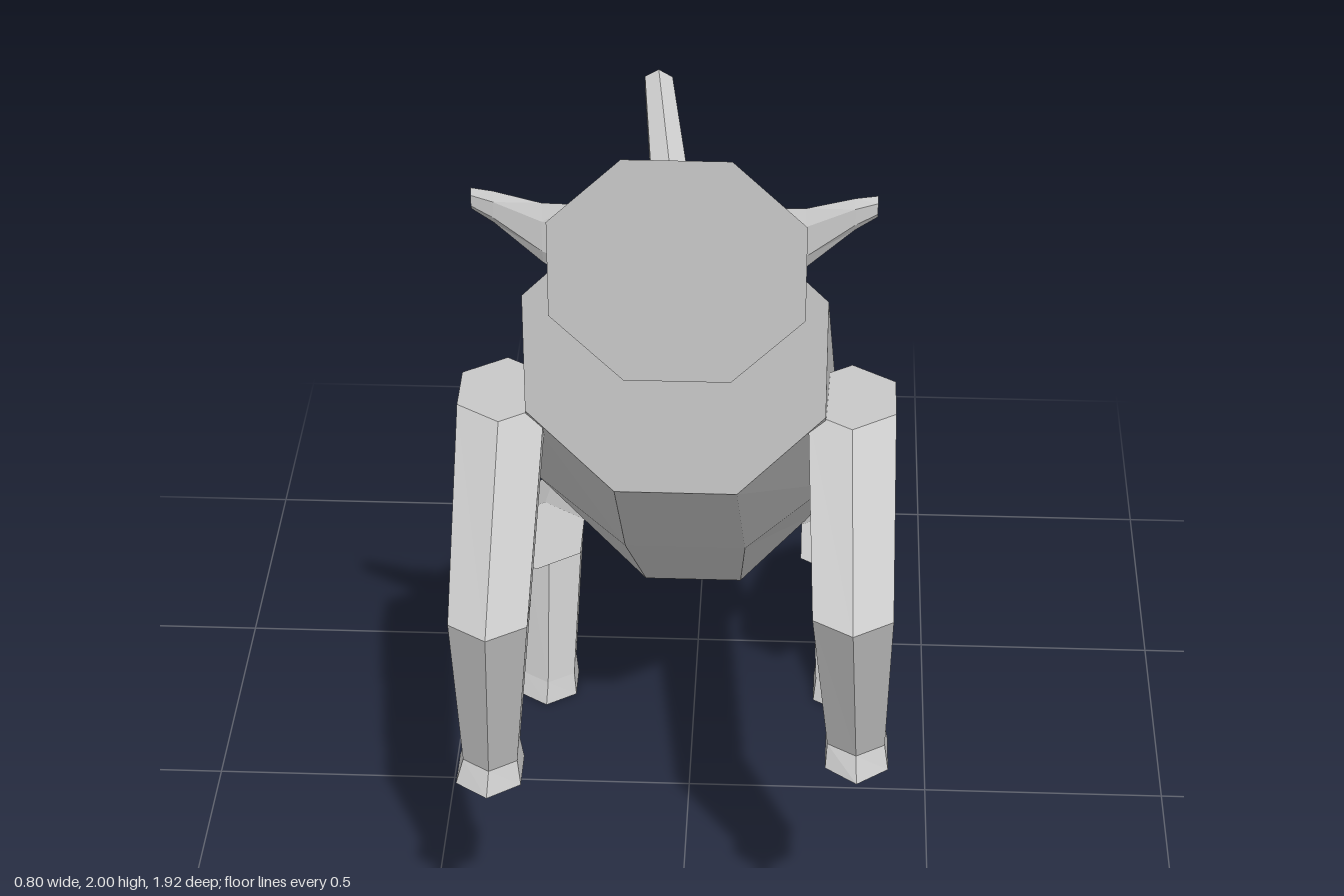
import * as THREE from 'three';

const grey = new THREE.MeshStandardMaterial({ color: 0xc8c8c8, flatShading: true });
grey.name = 'light grey';

// Skins a list of equal-sized rings of [x, y, z] points and closes both ends.
function loft(name, rings) {
  const tris = [];
  const n = rings[0].length;
  for (let r = 0; r + 1 < rings.length; r++) {
    for (let i = 0; i < n; i++) {
      const j = (i + 1) % n;
      const [a, b, c, d] = [rings[r][i], rings[r][j], rings[r + 1][j], rings[r + 1][i]];
      tris.push([a, b, c], [a, c, d]);
    }
  }
  const first = rings[0], last = rings[rings.length - 1];
  for (let i = 1; i + 1 < n; i++) {
    tris.push([first[0], first[i + 1], first[i]], [last[0], last[i], last[i + 1]]);
  }
  // The signed volume tells whether the faces point outwards
  let volume = 0;
  for (const [a, b, c] of tris) {
    const [p, q, s] = [a, b, c].map((v) => new THREE.Vector3(...v));
    volume += p.dot(q.cross(s));
  }
  if (volume < 0) tris.forEach((t) => t.reverse());
  const geometry = new THREE.BufferGeometry();
  geometry.setAttribute('position', new THREE.Float32BufferAttribute(tris.flat(2), 3));
  geometry.computeVertexNormals();
  const mesh = new THREE.Mesh(geometry, grey);
  mesh.name = name;
  return mesh;
}

// Upright octagon with chamfered corners
function octagon(z, cx, halfTop, halfSide, yTop, yHigh, yLow, yBottom) {
  const right = [[halfTop, yTop], [halfSide, yHigh], [halfSide, yLow], [halfTop, yBottom]];
  const left = right.map(([x, y]) => [-x, y]).reverse();
  return [...right, ...left].map(([x, y]) => [cx + x, y, z]);
}

// Unit hexagon with its points along the second axis
const HEX = [[0, 1], [1, 0.5], [1, -0.5], [0, -1], [-1, -0.5], [-1, 0.5]];
const flatHex = (x, y, z, hx, hz) => HEX.map(([u, v]) => [x + u * hx, y, z + v * hz]);
const uprightHex = (x, y, z, hx, hy) => HEX.map(([u, v]) => [x + u * hx, y + v * hy, z]);
const sideHex = (x, y, z, hy, hz) => HEX.map(([u, v]) => [x, y + v * hy, z + u * hz]);

export function createModel() {
  const model = new THREE.Group();
  model.name = 'animal';

  // Body, sheared upwards towards the chest
  model.add(loft('body', [
    octagon(-0.21, 0, 0.1, 0.242, 0.92, 0.77, 0.555, 0.385),
    octagon(0.2, 0, 0.117, 0.282, 1.35, 1.19, 0.93, 0.77),
    octagon(0.61, 0, 0.11, 0.265, 1.76, 1.6, 1.36, 1.19),
  ]));

  // Head, widening towards its flat face
  model.add(loft('head', [
    octagon(0.61, 0, 0.065, 0.157, 1.76, 1.67, 1.545, 1.46),
    octagon(0.83, 0.013, 0.09, 0.213, 2, 1.88, 1.7, 1.575),
  ]));

  // Ears
  for (const s of [1, -1]) {
    const cx = s > 0 ? 0.013 : 0;
    model.add(loft(s > 0 ? 'leftEar' : 'rightEar', [
      sideHex(cx + s * 0.15, 1.815, 0.788, 0.075, 0.008),
      sideHex(cx + s * 0.21, 1.832, 0.784, 0.057, 0.012),
      sideHex(cx + s * 0.29, 1.875, 0.776, 0.03, 0.01),
      sideHex(cx + s * 0.327, 1.887, 0.77, 0.02, 0.008),
    ]));
  }

  // Front legs, in different phases of the step: shoulder, knee, ankle, foot
  model.add(loft('leftFrontLeg', [
    flatHex(0.312, 1.345, 0.52, 0.078, 0.104),
    flatHex(0.319, 1.145, 0.87, 0.07, 0.09),
    flatHex(0.334, 0.76, 0.745, 0.052, 0.066),
    flatHex(0.336, 0.72, 0.755, 0.057, 0.087),
  ]));
  model.add(loft('rightFrontLeg', [
    flatHex(-0.312, 1.345, 0.52, 0.078, 0.104),
    flatHex(-0.32, 1.065, 0.805, 0.07, 0.09),
    flatHex(-0.337, 0.672, 0.71, 0.05, 0.066),
    flatHex(-0.34, 0.63, 0.72, 0.06, 0.083),
  ]));

  // Hind legs: hip, knee, ankle, foot
  for (const s of [1, -1]) {
    model.add(loft(s > 0 ? 'leftHindLeg' : 'rightHindLeg', [
      flatHex(s * 0.312, 0.555, -0.122, 0.086, 0.118),
      flatHex(s * 0.317, 0.405, -0.465, 0.07, 0.086),
      flatHex(s * 0.32, 0.045, -0.345, 0.055, 0.07),
      flatHex(s * 0.323, 0, -0.335, 0.063, 0.082),
    ]));
  }

  // Tail, swung to the right and bent upwards
  model.add(loft('tail', [
    uprightHex(-0.004, 0.733, -0.21, 0.06, 0.068),
    uprightHex(-0.055, 0.903, -0.695, 0.046, 0.052),
    uprightHex(-0.105, 1.163, -0.96, 0.03, 0.035),
  ]));

  return model;
}
